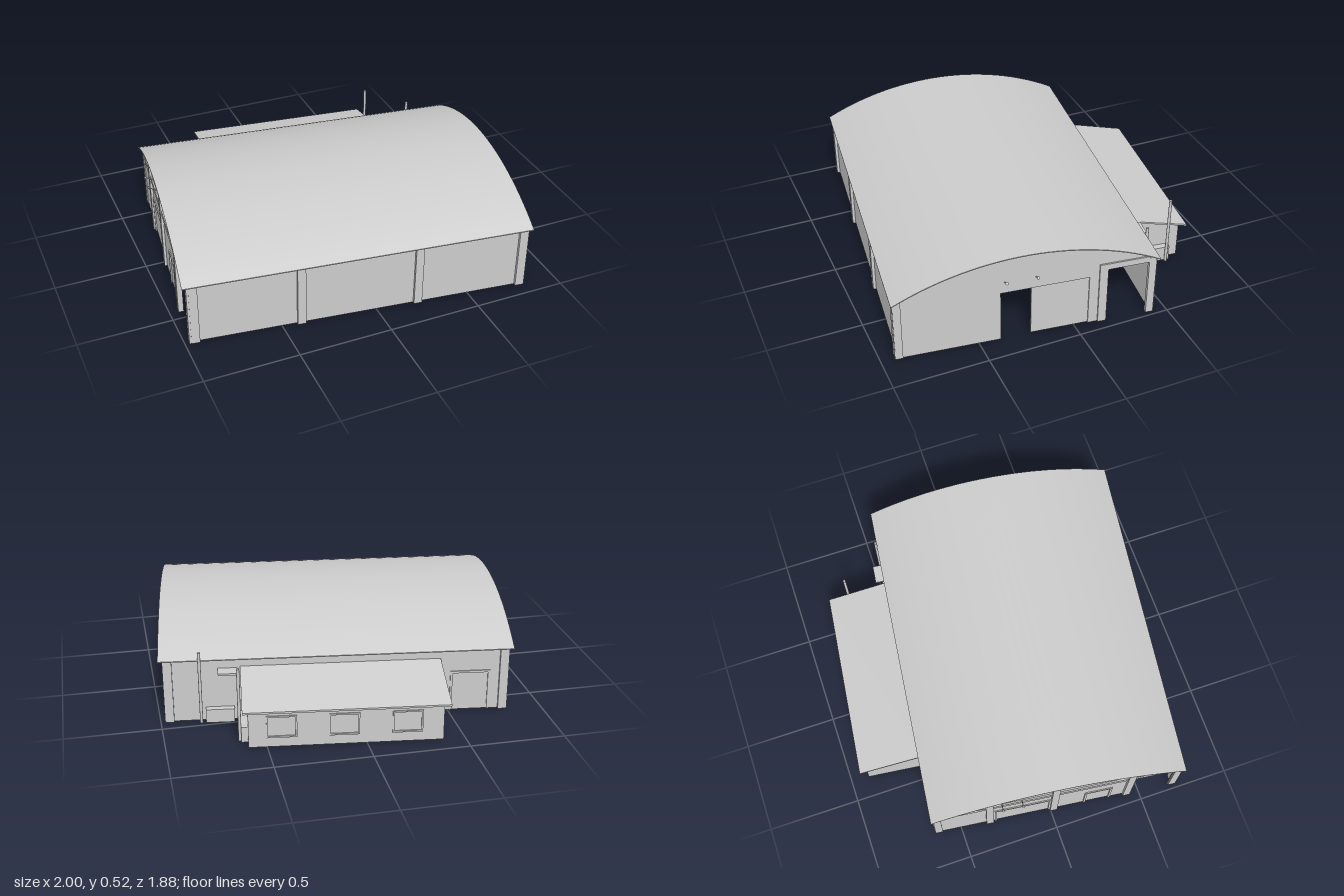
import * as THREE from 'three';
import { toCreasedNormals } from 'three/addons/utils/BufferGeometryUtils.js';

const W = 0.897, D = 0.67, EAVE = 0.355, T = 0.006;   // hall half width, half depth, wall height, wall thickness
const mat = new THREE.MeshStandardMaterial({ color: 0xcccccc, side: THREE.DoubleSide });

// height of the vaulted roof at depth z
const R = 1.485, roofY = (z) => 0.525 - R + Math.sqrt(R * R - z * z);

export function createModel() {
  const root = new THREE.Group();
  root.name = 'hangar';
  const hall = new THREE.Group();
  hall.name = 'building';
  hall.rotation.y = -0.12;
  hall.position.z = 0.14;
  root.add(hall);

  const add = (name, geo, x = 0, y = 0, z = 0) => {
    const m = new THREE.Mesh(geo, mat);
    m.name = name;
    m.position.set(x, y, z);
    hall.add(m);
    return m;
  };
  // box given by its limits
  const box = (name, x0, x1, y0, y1, z0, z1) =>
    add(name, new THREE.BoxGeometry(x1 - x0, y1 - y0, z1 - z0), (x0 + x1) / 2, (y0 + y1) / 2, (z0 + z1) / 2);

  const extrude = (pts, depth, holes = []) => {
    const s = new THREE.Shape(pts.map(([a, b]) => new THREE.Vector2(a, b)));
    for (const [a, b, c, d] of holes)
      s.holes.push(new THREE.Path([[a, c], [a, d], [b, d], [b, c]].map((p) => new THREE.Vector2(...p))));
    return new THREE.ExtrudeGeometry(s, { depth, bevelEnabled: false });
  };
  // profile drawn in (z, y), extruded from x1 back to x1 - depth
  const side = (name, pts, x1, depth) => add(name, extrude(pts, depth).rotateY(-Math.PI / 2), x1);
  // bottom line of a wall with openings [from, to, height] that reach the ground
  const bottom = (a, b, openings) =>
    [[a, 0], ...openings.flatMap(([p, q, h]) => [[p, 0], [p, h], [q, h], [q, 0]]), [b, 0]];

  // vaulted roof shell and the flat ceiling below it
  const arc = (drop, half = 0.694, n = 28) =>
    Array.from({ length: n + 1 }, (_, i) => {
      const z = -half + (2 * half * i) / n;
      return [z, roofY(z) - drop];
    });
  const roof = extrude([...arc(0.005), ...arc(0).reverse()], 1.848).rotateY(-Math.PI / 2);
  add('vaultedRoof', toCreasedNormals(roof, 0.4), 0.924);
  box('ceiling', -W, W, 0.35, 0.354, -D, D);

  // front wall and back wall; the back wall is open to the annex and has a side door
  box('frontWall', -W, W, 0, EAVE, D - T, D);
  const doorway = [-0.8, -0.6, 0.22];
  add('backWall', extrude([...bottom(-W, W, [doorway, [-0.5, 0.47, 0.285]]), [W, EAVE], [-W, EAVE]], T), 0, 0, -D);
  box('backDoor', -0.8, -0.6, 0, 0.22, -D + 0.002, -D + 0.005);

  // gable end with a sliding door and an open bay
  const gableTop = arc(0.004, D).reverse();
  side('gableWall', [...bottom(-D, D, [[-0.64, -0.42, 0.33], [-0.324, 0.14, 0.295]]), ...gableTop], W, T);
  box('slidingDoor', W - 0.018, W - 0.008, 0, 0.297, -0.33, -0.02);

  // opposite gable end with two doors and an open bay, braced by posts and a tie beam
  const doors = [[-0.34, -0.04, 0.22], [0.16, 0.3, 0.205]];
  side('endWall', [...bottom(-D, D, [...doors, [0.42, 0.64, 0.325]]), ...gableTop], -W + T, T);
  box('tieBeam', -W - 0.008, -W + T + 0.004, 0.325, EAVE + 0.005, -D, D);
  box('endDoorWide', -W + 0.002, -W + 0.005, 0, 0.22, -0.34, -0.04);
  box('endDoorSmall', -W + 0.002, -W + 0.005, 0, 0.205, 0.16, 0.3);
  for (const z of [-0.374, -0.015, 0.4]) {
    box('endPost', -W - 0.014, -W + 0.014, 0, 0.35, z - 0.02, z + 0.02);
    box('gablePost', -W - 0.014, -W, 0.35, roofY(z) - 0.006, z - 0.02, z + 0.02);
  }

  // frames around the end and back doors
  for (const [a, b, h] of doors) {
    for (const z of [a, b]) box('doorJamb', -W - 0.006, -W, 0, h + 0.006, z - 0.006, z + 0.006);
    box('doorHead', -W - 0.006, -W, h - 0.006, h + 0.006, a, b);
  }
  for (const x of [-0.8, -0.6]) box('doorJamb', x - 0.006, x + 0.006, 0, 0.226, -D - 0.006, -D);
  box('doorHead', -0.8, -0.6, 0.214, 0.226, -D - 0.006, -D);

  // pilasters along the front, at the corners and beside the open bay
  for (const x of [-0.87, -0.32, 0.306, 0.876])
    box('frontPilaster', x - 0.022, x + 0.022, 0, EAVE, D - 0.016, D + 0.016);
  for (const s of [-1, 1]) {
    const x = s * (W - 0.004);
    box('backPilaster', s * 0.876 - 0.021, s * 0.876 + 0.021, 0, EAVE, -D - 0.014, -D + 0.012);
    for (const z of [-0.66, 0.664]) box('cornerPilaster', x - 0.01, x + 0.01, 0, EAVE, z - 0.02, z + 0.02);
  }
  box('bayPost', W - 0.02, W + 0.008, 0, 0.365, -0.42, -0.375);
  box('bayHeader', W - 0.02, W + 0.008, 0.33, 0.365, -0.64, -0.42);

  // annex with a lean-to roof
  const AL = -0.51, AR = 0.478, AZ = -0.987;
  const eave = (z) => 0.3 + ((z + D) * 0.09) / 0.352;
  side('annexRoof', [[-1.022, 0.202], [-D, 0.292], [-D, 0.302], [-1.022, 0.212]], 0.506, 1.046);
  for (const x of [AR, AL + T])
    side('annexSideWall', [[AZ, 0], [-D, 0], [-D, eave(-D) - 0.008], [AZ, eave(AZ) - 0.008]], x, T);
  const wins = [-0.325, -0.005, 0.31].map((x) => [x - 0.069, x + 0.069, 0.06, 0.165]);
  const top = eave(AZ) - 0.008;
  add('annexBackWall', extrude([[AL, 0], [AR, 0], [AR, top], [AL, top]], T, wins), 0, 0, AZ);
  for (const [a, b, c, d] of wins) {
    const f = 0.008;
    add('windowFrame', extrude([[a - f, c - f], [b + f, c - f], [b + f, d + f], [a - f, d + f]], 0.006, [[a, b, c, d]]), 0, 0, AZ - 0.006);
    box('windowPane', a, b, c, d, AZ + 0.002, AZ + 0.005);
  }

  // canopy, low cabinets and chimney pipes in the corner beside the annex
  box('canopy', 0.52, 0.62, 0.285, 0.295, -0.74, -D);
  box('annexCabinet', AR, 0.512, 0, 0.085, -0.93, -0.74);
  box('hallCabinet', 0.54, 0.69, 0, 0.075, -0.705, -D);
  for (const [x, z] of [[0.519, -0.909], [0.714, -0.699]])
    add('pipe', new THREE.CylinderGeometry(0.008, 0.008, 0.4, 12), x, 0.2, z);

  // small lamps on slanted arms over the big doors
  for (const [s, z] of [[1, 0.12], [1, -0.04], [-1, -0.308], [-1, -0.2]]) {
    const arm = new THREE.LineCurve3(new THREE.Vector3(s * W, 0.362, z), new THREE.Vector3(s * (W + 0.042), 0.386, z));
    add('lampArm', new THREE.TubeGeometry(arm, 1, 0.0025, 6));
    const head = add('lampHead', new THREE.CylinderGeometry(0.008, 0.008, 0.006, 12), s * (W + 0.042), 0.386, z);
    head.rotation.z = -s * 1.05;
  }
  return root;
}
